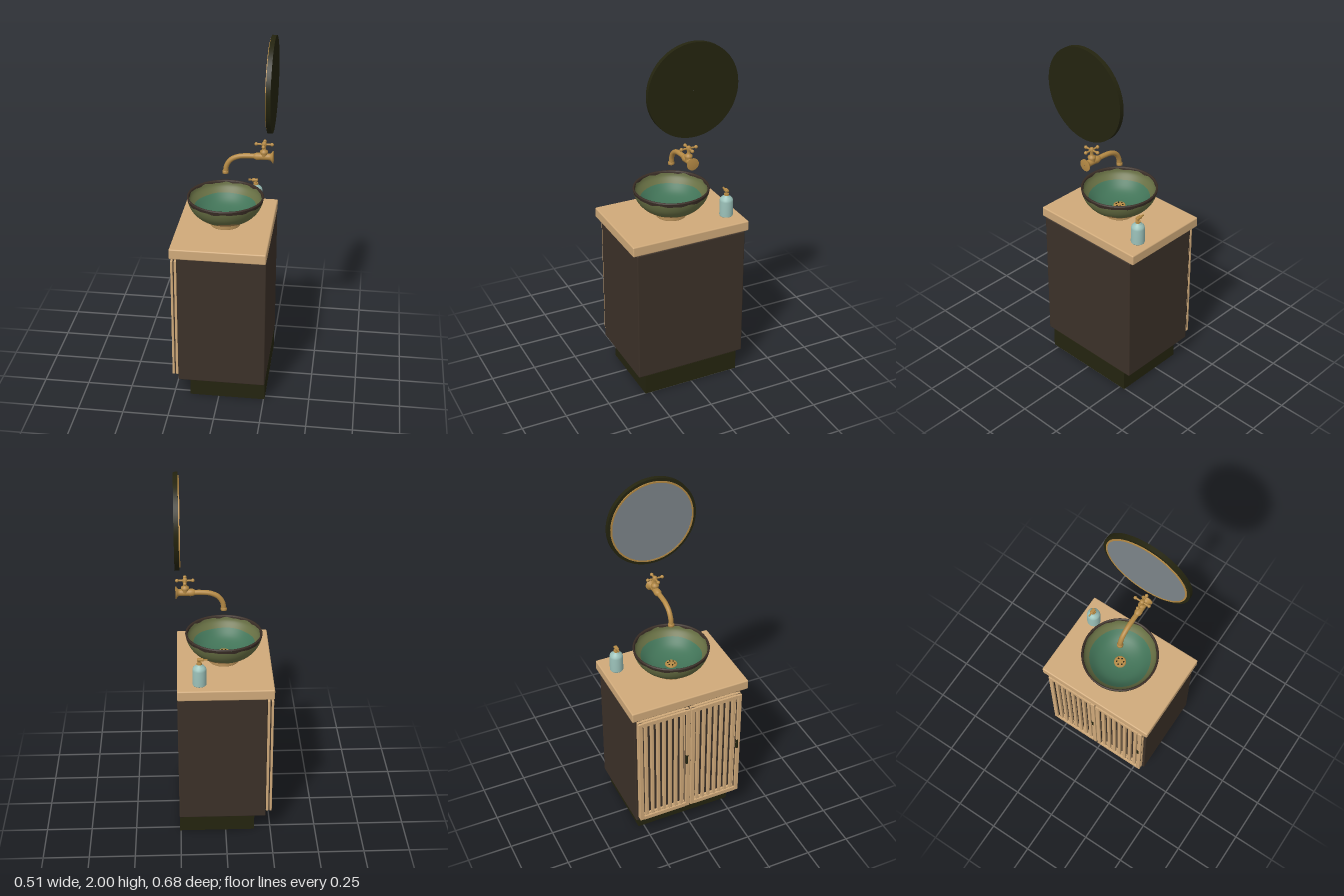
import * as THREE from 'three';
import { mergeVertices } from 'three/addons/utils/BufferGeometryUtils.js';
import { RoundedBoxGeometry } from 'three/addons/geometries/RoundedBoxGeometry.js';

const paint = (name, color) => {
  const m = new THREE.MeshStandardMaterial({ color });
  m.name = name;
  return m;
};

export function createModel() {
  const wood = paint('pale wood', 0xd0aa7a);
  const brown = paint('dark brown', 0x3c3128);
  const olive = paint('black olive', 0x24240f);
  const brass = paint('brass', 0xb58a45);
  const glaze = paint('olive glaze', 0x687044);
  const teal = paint('teal glaze', 0x427458);
  const clay = paint('bare clay', 0xa98450);
  const rimBrown = paint('rim brown', 0x3a2e26);
  const aqua = paint('pale aqua', 0x9cc2ba);
  const glass = paint('mirror grey', 0x7c8489);

  const model = new THREE.Group();
  model.name = 'washstand';
  const add = (name, geo, mat, x = 0, y = 0, z = 0, parent = model) => {
    const mesh = new THREE.Mesh(geo, mat);
    mesh.name = name;
    mesh.position.set(x, y, z);
    parent.add(mesh);
    return mesh;
  };
  const group = (name, x = 0, y = 0, z = 0) => {
    const g = new THREE.Group();
    g.name = name;
    g.position.set(x, y, z);
    model.add(g);
    return g;
  };
  // box given by its lower and upper corners
  const box = (name, mat, a, b, parent = model, r = 0) => {
    const s = a.map((v, i) => b[i] - v), c = a.map((v, i) => (b[i] + v) / 2);
    const geo = r ? new RoundedBoxGeometry(...s, 3, r) : new THREE.BoxGeometry(...s);
    return add(name, geo, mat, ...c, parent);
  };
  const lathe = (pts, seg = 48) => new THREE.LatheGeometry(pts.map(p => new THREE.Vector2(...p)), seg);
  // the same, lying along x
  const latheX = (pts, seg = 32) => lathe(pts, seg).rotateZ(Math.PI / 2);

  // Cabinet body
  box('plinth', olive, [-0.16, 0, -0.282], [0.256, 0.116, 0.282]);
  box('cabinet', brown, [-0.221, 0.115, -0.319], [0.256, 0.881, 0.319], model, 0.006);
  box('countertop', wood, [-0.256, 0.88, -0.342], [0.256, 0.938, 0.342], model, 0.007);

  // Slatted double doors on the -x side
  const y0 = 0.142, y1 = 0.852, w = 0.304, f = 0.024;
  for (const zc of [-0.155, 0.155]) {
    const door = group('door', 0, 0, zc);
    for (const [xa, xb] of [[-0.255, -0.242], [-0.236, -0.222]]) {
      for (const s of [-1, 1]) {
        const z = s * (w - f) / 2;
        box('doorStile', wood, [xa, y0, z - f / 2], [xb, y1, z + f / 2], door, 0.003);
        const y = s > 0 ? y1 - f : y0;
        box('doorRail', wood, [xa, y, -w / 2 + f], [xb, y + f, w / 2 - f], door);
      }
    }
    box('doorCore', brown, [-0.243, y0 + 0.004, -w / 2 + 0.004], [-0.235, y1 - 0.004, -w / 2 + f], door);
    box('doorCore', brown, [-0.243, y0 + 0.004, w / 2 - f], [-0.235, y1 - 0.004, w / 2 - 0.004], door);
    for (let i = 0; i < 7; i++) {
      const z = (i - 3) * 0.0355;
      box('slat', wood, [-0.249, y0 + f, z - 0.009], [-0.231, y1 - f, z + 0.009], door, 0.003);
    }
    add('doorHandle', new THREE.CylinderGeometry(0.008, 0.008, 0.06, 16), olive, -0.25, 0.5, w / 2 - 0.018, door);
  }

  // Basin: bands of one profile, with wavy edges between the glazes
  const curve = pts => new THREE.CatmullRomCurve3(pts.map(([r, y]) => new THREE.Vector3(r, y, 0)));
  const outer = curve([[0.07, 0.958], [0.105, 0.972], [0.15, 0.997], [0.184, 1.034], [0.201, 1.07], [0.208, 1.1]]);
  const inner = curve([[0.197, 1.1], [0.19, 1.075], [0.163, 1.042], [0.12, 1.005], [0.06, 0.984], [0.001, 0.98]]);
  const band = (path, lo, hi) => {
    const geo = lathe(Array.from({ length: 13 }, (_, i) => [0.1, i]), 160);
    const pos = geo.attributes.position, uv = geo.attributes.uv;
    for (let i = 0; i < pos.count; i++) {
      const a = uv.getX(i) * Math.PI * 2;
      const p = path.getPointAt(THREE.MathUtils.clamp(THREE.MathUtils.lerp(lo(a), hi(a), uv.getY(i)), 0, 1));
      pos.setXYZ(i, p.x * Math.sin(a), p.y, p.x * Math.cos(a));
    }
    geo.deleteAttribute('uv');
    geo.deleteAttribute('normal');
    const merged = mergeVertices(geo, 1e-5);
    merged.computeVertexNormals();
    return merged;
  };
  const zero = () => 0, one = () => 1;
  const drip = a => 0.46 + 0.05 * Math.sin(3 * a + 1) + 0.05 * Math.sin(7 * a) + 0.03 * Math.sin(12 * a + 2);
  const rimEdge = a => 0.92 + 0.012 * Math.sin(9 * a) + 0.01 * Math.sin(16 * a + 1);
  const pool = a => 0.26 + 0.006 * Math.sin(5 * a);
  const lip = a => 0.03 + 0.012 * Math.sin(11 * a) + 0.008 * Math.sin(19 * a);
  const basin = group('basin');
  add('basinClay', band(outer, zero, drip), clay, 0, 0, 0, basin);
  add('basinGlaze', band(outer, drip, rimEdge), glaze, 0, 0, 0, basin);
  add('basinRimOutside', band(outer, rimEdge, one), rimBrown, 0, 0, 0, basin);
  add('basinRim', lathe([[0.208, 1.1], [0.206, 1.105], [0.2, 1.106], [0.197, 1.1]], 96), rimBrown, 0, 0, 0, basin);
  add('basinRimInside', band(inner, zero, lip), rimBrown, 0, 0, 0, basin);
  add('basinWall', band(inner, lip, pool), glaze, 0, 0, 0, basin);
  add('basinFloor', band(inner, pool, one), teal, 0, 0, 0, basin);
  add('basinFoot', lathe([[0.082, 0.937], [0.084, 0.943], [0.077, 0.957], [0.08, 0.966]]), clay, 0, 0, 0, basin);

  // Drain with a ring of slots
  add('drain', lathe([[0.033, 0.98], [0.033, 0.986], [0.028, 0.99], [0.001, 0.989]], 32), brass, 0, 0, 0, basin);
  for (let i = 0; i < 6; i++) {
    const a = i * Math.PI / 3;
    add('drainHole', new THREE.CylinderGeometry(0.0045, 0.0045, 0.003, 12), olive,
      0.019 * Math.cos(a), 0.9895, 0.019 * Math.sin(a), basin);
  }

  // Wall tap
  const tap = group('tap', 0, 1.345, 0);
  add('wallFlange', latheX([[0.001, -0.256], [0.033, -0.256], [0.033, -0.251], [0.025, -0.246], [0.018, -0.238], [0.018, -0.23]]),
    brass, 0, 0, 0, tap);
  add('tapBody', latheX([[0.016, -0.245], [0.018, -0.235], [0.018, -0.185], [0.02, -0.18], [0.02, -0.165], [0.014, -0.152], [0.012, -0.15]]),
    brass, 0, 0, 0, tap);
  const spoutPath = new THREE.CatmullRomCurve3([[0.17, 0], [0.12, 0], [0.07, -0.006], [0.03, -0.026], [0.007, -0.06], [0, -0.1]]
    .map(([x, y]) => new THREE.Vector3(x, y, 0)));
  add('spout', new THREE.TubeGeometry(spoutPath, 40, 0.0135, 20), brass, 0, 0, 0, tap);
  add('spoutTip', lathe([[0.001, -0.104], [0.013, -0.106], [0.017, -0.105], [0.017, -0.094], [0.013, -0.09]], 24), brass, 0, 0, 0, tap);
  add('valveStem', lathe([[0.018, 0], [0.018, 0.02], [0.021, 0.022], [0.021, 0.032], [0.013, 0.037], [0.009, 0.044],
    [0.009, 0.058], [0.013, 0.062], [0.013, 0.076], [0.008, 0.083], [0.001, 0.084]], 24), brass, 0.205, 0, 0, tap);
  for (let i = 0; i < 4; i++) {
    const a = i * Math.PI / 2, c = Math.cos(a), s = Math.sin(a);
    const arm = add('handleArm', new THREE.CylinderGeometry(0.0055, 0.0045, 0.04, 12), brass, 0.205 + c * 0.022, 0.07, s * 0.022, tap);
    arm.rotation.set(0, -a, -Math.PI / 2, 'YXZ');
    add('handleKnob', new THREE.SphereGeometry(0.0095, 16, 12), brass, 0.205 + c * 0.042, 0.07, s * 0.042, tap);
  }

  // Round wall mirror facing -x
  const mirror = group('mirror', 0, 1.749, 0);
  add('mirrorFrame', latheX([[0.001, -0.256], [0.251, -0.256], [0.251, -0.256], [0.251, -0.232], [0.251, -0.232], [0.232, -0.232]], 96),
    olive, 0, 0, 0, mirror);
  add('mirrorTrim', latheX([[0.235, -0.233], [0.235, -0.227], [0.235, -0.227], [0.226, -0.227], [0.226, -0.227], [0.226, -0.233]], 96),
    brass, 0, 0, 0, mirror);
  add('mirrorGlass', new THREE.CylinderGeometry(0.227, 0.227, 0.004, 96).rotateZ(Math.PI / 2), glass, 0.231, 0, 0, mirror);

  // Soap bottle with pump
  const soap = group('soapBottle', 0.137, 0.938, -0.265);
  add('bottle', lathe([[0.001, 0], [0.035, 0], [0.037, 0.004], [0.037, 0.088], [0.034, 0.1], [0.025, 0.11],
    [0.015, 0.116], [0.013, 0.124], [0.001, 0.124]], 40), aqua, 0, 0, 0, soap);
  add('pumpCollar', new THREE.CylinderGeometry(0.013, 0.014, 0.012, 24), brass, 0, 0.125, 0, soap);
  add('pumpStem', new THREE.CylinderGeometry(0.006, 0.006, 0.02, 16), brass, 0, 0.135, 0, soap);
  box('pumpHead', brass, [-0.022, 0.14, -0.01], [0.011, 0.154, 0.01], soap, 0.004);
  box('pumpNozzle', brass, [-0.042, 0.144, -0.0035], [-0.02, 0.151, 0.0035], soap);

  return model;
}
